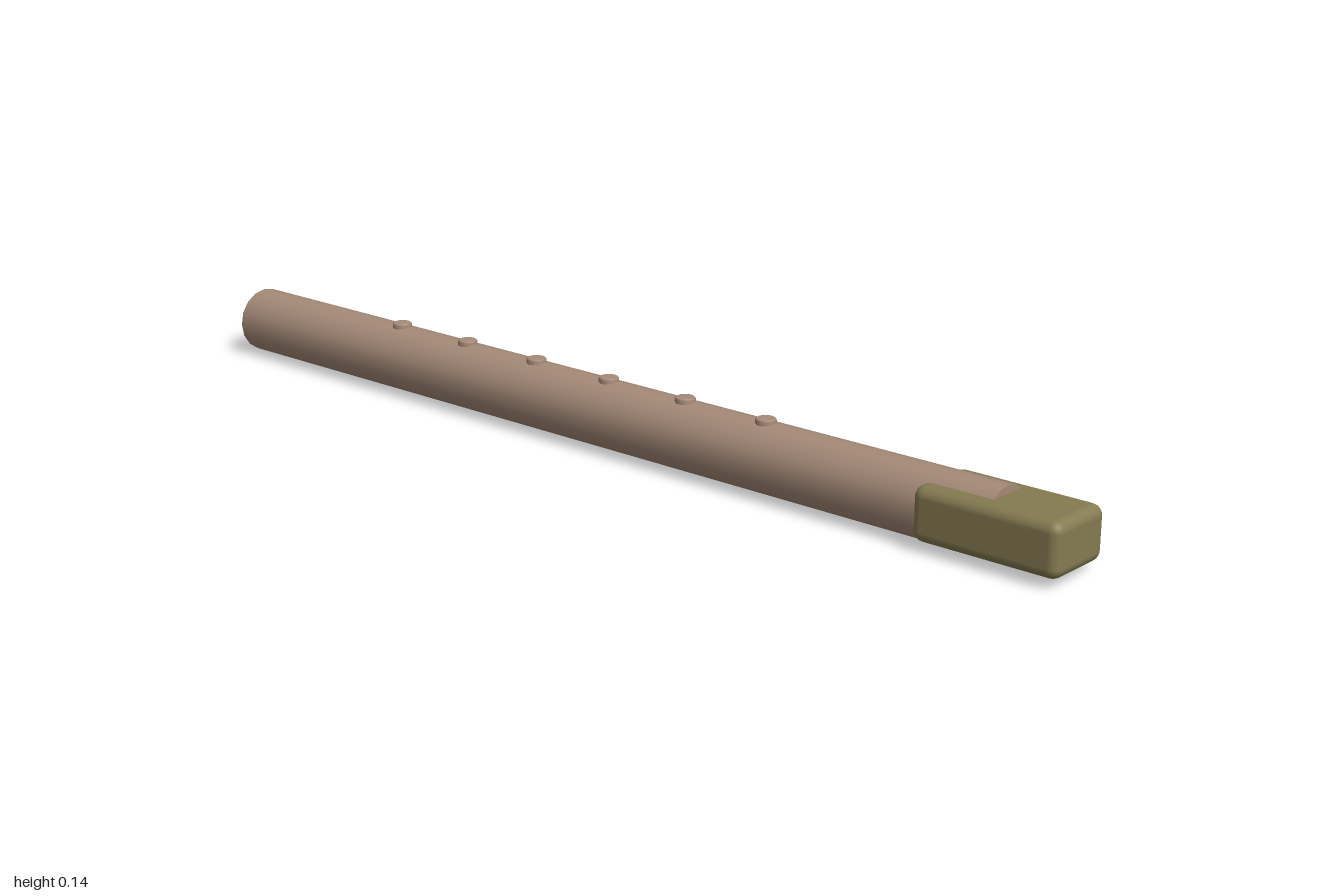
import * as THREE from 'three';
import { RoundedBoxGeometry } from 'three/addons/geometries/RoundedBoxGeometry.js';

export function createModel() {
  const group = new THREE.Group();
  const wood = new THREE.MeshStandardMaterial({ name: 'wood', color: 0xa58a78 });
  const olive = new THREE.MeshStandardMaterial({ name: 'olive', color: 0x857b52 });

  function add(name, geometry, material, x, y) {
    const mesh = new THREE.Mesh(geometry, material);
    mesh.name = name;
    mesh.position.set(x, y, 0);
    group.add(mesh);
    return mesh;
  }

  // Body: a capped tube lying along x
  const radius = 0.0645;
  const left = -1;
  const right = 0.857;
  const body = new THREE.CylinderGeometry(radius, radius, right - left, 16);
  body.rotateZ(Math.PI / 2);
  add('body', body, wood, (left + right) / 2, radius);

  // Mouthpiece: rounded block around the end of the tube
  add('mouthpiece', new RoundedBoxGeometry(0.284, 0.099, 0.142, 3, 0.02), olive, 0.858, 0.065);

  // Finger holes: small bevelled rims along the top
  const rimProfile = [[0.019, -0.006], [0.019, 0.002], [0.0175, 0.004], [0.016, 0.005], [0, 0.005]]
    .map(([r, y]) => new THREE.Vector2(r, y));
  const rim = new THREE.LatheGeometry(rimProfile, 20);
  for (let i = 0; i < 6; i++) {
    add('fingerHole' + (i + 1), rim, wood, -0.575 + i * 0.186, 0.131);
  }

  return group;
}
